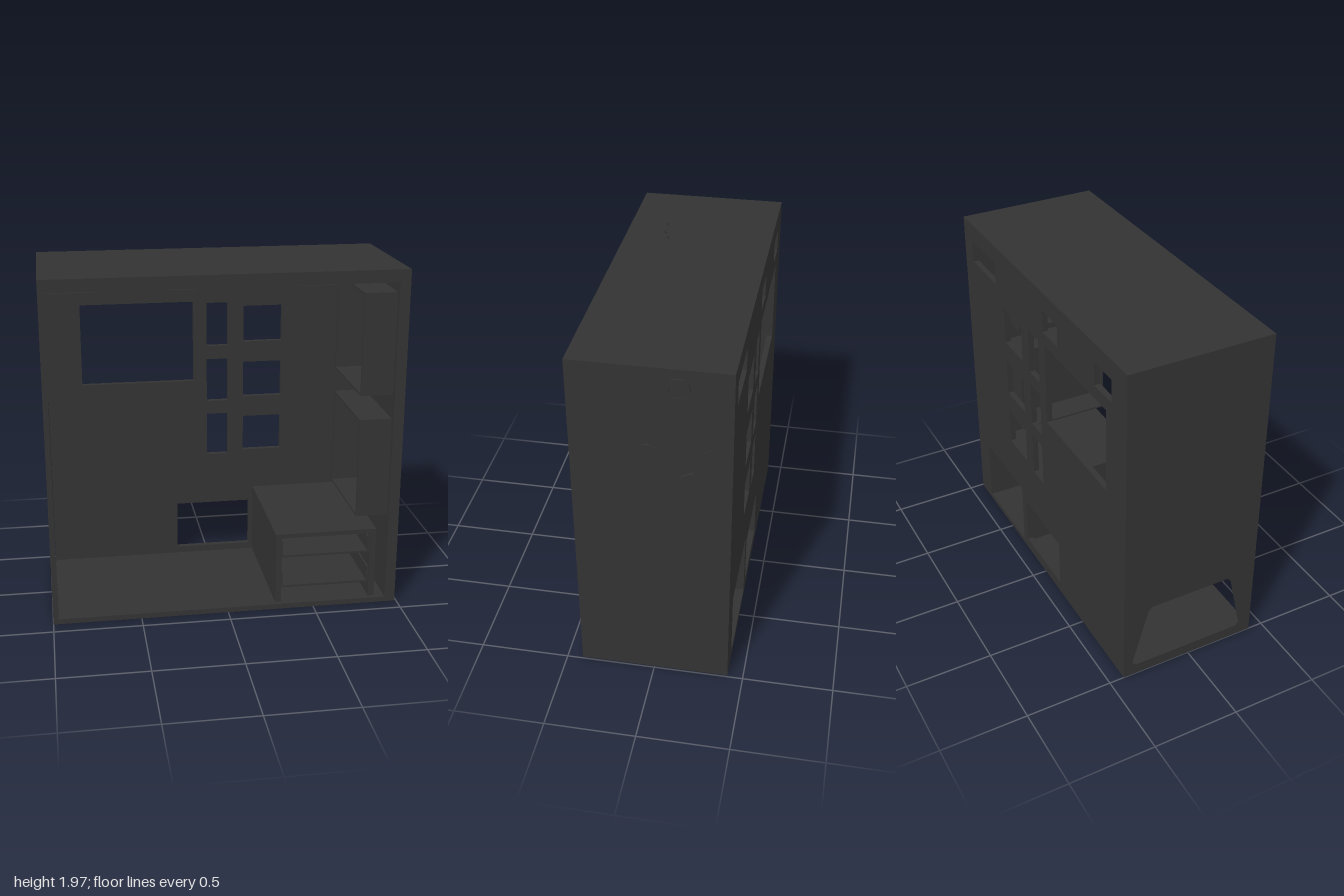
import * as THREE from 'three';

const material = new THREE.MeshStandardMaterial({ color: 0x333333 });

const rect = (x0, y0, x1, y1) => [[x0, y0], [x1, y0], [x1, y1], [x0, y1]];

// Flat sheet with cut-outs, extruded from depth w0 to w1
function sheet(outline, holes, w0, w1) {
  const points = (list) => list.map(([x, y]) => new THREE.Vector2(x, y));
  const shape = new THREE.Shape(points(outline));
  holes.forEach((h) => shape.holes.push(new THREE.Path(points(h))));
  const geometry = new THREE.ExtrudeGeometry(shape, { depth: w1 - w0, bevelEnabled: false });
  return geometry.translate(0, 0, w0);
}
const flipU = (list) => list.map(([z, y]) => [-z, y]);
const flipV = (list) => list.map(([x, z]) => [x, -z]);
// Sheet facing x, drawn in (z, y)
const sideSheet = (outline, holes, x0, x1) =>
  sheet(flipU(outline), holes.map(flipU), x0, x1).rotateY(Math.PI / 2);
// Sheet facing y, drawn in (x, z)
const levelSheet = (outline, holes, y0, y1) =>
  sheet(flipV(outline), holes.map(flipV), y0, y1).rotateX(-Math.PI / 2);

function add(parent, name, geometry) {
  const mesh = new THREE.Mesh(geometry, material);
  mesh.name = name;
  parent.add(mesh);
  return mesh;
}

function box(parent, name, x0, x1, y0, y1, z0, z1) {
  const mesh = add(parent, name, new THREE.BoxGeometry(x1 - x0, y1 - y0, z1 - z0));
  mesh.position.set((x0 + x1) / 2, (y0 + y1) / 2, (z0 + z1) / 2);
  return mesh;
}

// Box-shaped holder open towards the middle of the case; side is -1 or 1
function holder(parent, name, side, wallX, y0, y1) {
  const g = new THREE.Group();
  g.name = name;
  const t = 0.012, z0 = -0.2, z1 = 0.38, tip = wallX - side * 0.185;
  const a = Math.min(wallX, tip), b = Math.max(wallX, tip);
  box(g, 'holderFront', a, b, y0, y1, z1 - t, z1);
  box(g, 'holderBack', a, b, y0, y1, z0, z0 + t);
  box(g, 'holderFloor', a, b, y0, y0 + t, z0 + t, z1 - t);
  box(g, 'holderTop', a, b, y1 - t, y1, z0 + t, z1 - t);
  const inner = wallX - side * t;
  box(g, 'holderWall', Math.min(wallX, inner), Math.max(wallX, inner), y0 + t, y1 - t, z0 + t, z1 - t);
  parent.add(g);
}

export function createModel() {
  const model = new THREE.Group();
  model.name = 'computerCase';
  const L = -1, R = 0.99, T = 1.97, D = 0.413;

  // Back wall with its cut-outs
  const cutouts = [
    rect(-0.79, 1.165, -0.09, 1.655),
    rect(-0.845, 1.73, -0.665, 1.86),
    rect(-0.25, 1.73, -0.07, 1.86),
    rect(0.55, 1.73, 0.875, 1.86),
    rect(-0.2, 0.07, 0.255, 0.365),
    rect(0.315, 0.032, 0.835, 0.43),
  ];
  for (let i = 0; i < 3; i++) {
    cutouts.push(rect(-0.01, 1.38 - i * 0.347, 0.12, 1.645 - i * 0.347));
    cutouts.push(rect(0.215, 1.4 - i * 0.347, 0.45, 1.62 - i * 0.347));
  }
  add(model, 'backWall', sheet(rect(-0.97, 0.03, 0.93, 1.9), cutouts, -D, -0.38));

  // Floor
  box(model, 'floor', L, R, 0, 0.03, -D, D);

  // Left-hand wall with a tapered opening
  const opening = [[-0.36, 0.09], [-0.335, 0.065], [0.315, 0.065], [0.335, 0.09],
    [0.26, 0.43], [0.24, 0.455], [-0.24, 0.455], [-0.265, 0.43]];
  add(model, 'ventedSide', sideSheet(rect(-D, 0.03, D, 1.9), [opening], L, -0.97));

  // Opposite wall: solid core and an outer skin with sunken shards
  const shards = [
    [[0.07, 1.518], [-0.139, 1.566], [-0.143, 1.526], [-0.07, 1.484], [0.013, 1.524]],
    [[0.07, 1.504], [0.013, 1.514], [-0.06, 1.47], [-0.06, 1.382], [-0.029, 1.367], [0.034, 1.444]],
    [[-0.076, 1.474], [-0.144, 1.512], [-0.222, 1.468], [-0.217, 1.378], [-0.149, 1.346]],
    [[-0.15, 1.338], [-0.217, 1.37], [-0.264, 1.22], [-0.222, 1.208]],
    [[-0.232, 1.474], [-0.3, 1.514], [-0.304, 1.366], [-0.264, 1.346], [-0.229, 1.378]],
    [[-0.222, 1.49], [-0.296, 1.6], [-0.302, 1.524]],
    [[-0.307, 1.6], [-0.316, 1.48], [-0.32, 1.245], [-0.31, 1.335]],
    [[-0.348, 1.747], [-0.353, 1.648], [-0.308, 1.612]],
  ];
  const side = rect(-D, 0.03, D, 1.9);
  add(model, 'shardSideCore', sideSheet(side, [], 0.93, 0.965));
  add(model, 'shardSideSkin', sideSheet(side, shards, 0.965, R));

  // Top: solid core, skin with sunken shards, raised rim
  const topShards = [
    [[-0.7, 0.257], [-0.65, 0.214], [-0.64, 0.214], [-0.65, 0.251]],
    [[-0.623, 0.214], [-0.57, 0.176], [-0.537, 0.209], [-0.543, 0.219]],
    [[-0.521, 0.214], [-0.468, 0.176], [-0.43, 0.219]],
    [[-0.445, 0.171], [-0.388, 0.118], [-0.388, 0.15], [-0.425, 0.182]],
  ];
  for (let i = 0; i < 4; i++) {
    const x = 0.465 + i * 0.098, z = -0.185 - i * 0.018, s = 0.024 + i * 0.015;
    topShards.push([[x, z], [x + s, z - s * 0.35], [x + s * 0.7, z]]);
  }
  const top = rect(L, -D, R, D);
  add(model, 'topCore', levelSheet(top, [], 1.9, 1.93));
  add(model, 'topSkin', levelSheet(top, topShards, 1.93, 1.957));
  add(model, 'topRim', levelSheet(top, [rect(-0.735, -0.285, 0.87, 0.28)], 1.957, T));

  // Open-sided holders along both walls
  holder(model, 'upperLeftHolder', -1, -0.97, 1.3, 1.89);
  holder(model, 'upperRightHolder', 1, 0.93, 1.26, 1.84);
  holder(model, 'lowerRightHolder', 1, 0.93, 0.54, 1.12);

  // Drive cage with two shelves
  const cage = new THREE.Group();
  cage.name = 'driveCage';
  box(cage, 'cageWall', 0.28, 0.315, 0.03, 0.455, -0.38, 0.385);
  box(cage, 'cageWall', 0.835, 0.87, 0.03, 0.455, -0.38, 0.385);
  box(cage, 'cageTop', 0.315, 0.835, 0.43, 0.455, -0.38, 0.385);
  for (const y of [0.113, 0.303]) {
    box(cage, 'shelf', 0.315, 0.835, y, y + 0.012, -0.16, 0.37);
    for (const x of [0.315, 0.825]) box(cage, 'shelfFlange', x, x + 0.01, y + 0.012, y + 0.1, -0.16, 0.37);
  }
  model.add(cage);

  // Round power button with a ring
  const button = new THREE.Group();
  button.name = 'powerButton';
  const ring = add(button, 'buttonRing', new THREE.LatheGeometry(
    [[0.05, 0], [0.05, 0.01], [0.058, 0.01], [0.058, 0]].map(([r, y]) => new THREE.Vector2(r, y)).reverse(), 32));
  ring.material = new THREE.MeshStandardMaterial({ color: 0x333333, side: THREE.DoubleSide, flatShading: true });
  add(button, 'buttonFace', new THREE.CylinderGeometry(0.05, 0.05, 0.008, 32));
  button.rotation.z = -Math.PI / 2;
  button.position.set(R, 1.865, -0.145);
  model.add(button);

  return model;
}
